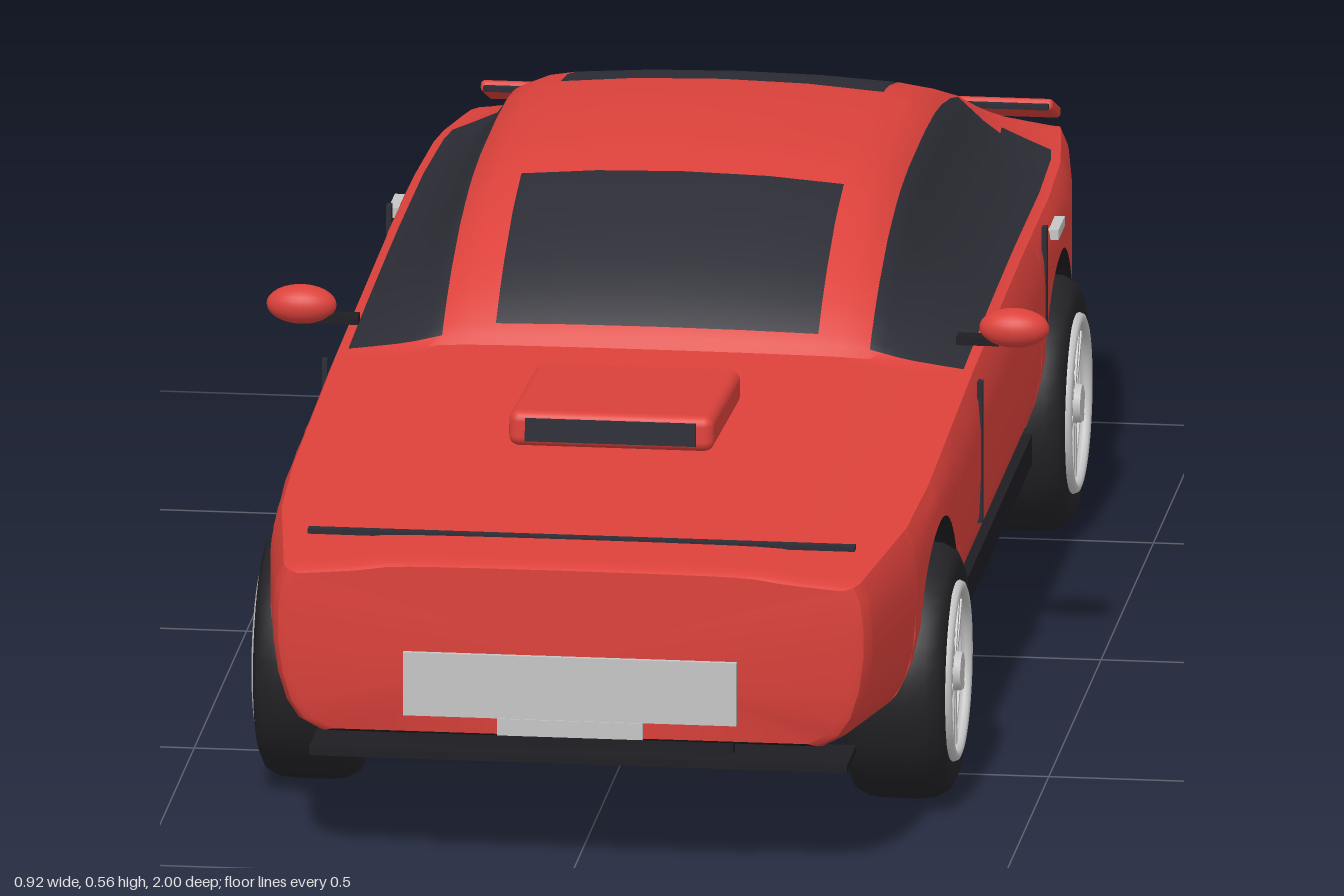
import * as THREE from 'three';
import { toCreasedNormals } from 'three/addons/utils/BufferGeometryUtils.js';
import { RoundedBoxGeometry } from 'three/addons/geometries/RoundedBoxGeometry.js';

const mat = (name, color, side = THREE.FrontSide) => {
  const m = new THREE.MeshStandardMaterial({ color, side });
  m.name = name;
  return m;
};
const red = mat('red paint', 0xdc413b);
const glass = mat('dark glass', 0x2c2c35);
const trim = mat('black trim', 0x1e1e23);
const rubber = mat('tyre rubber', 0x232327);
const silver = mat('silver metal', 0xc4c5c4, THREE.DoubleSide);
const caliperRed = mat('caliper red', 0xc8282a);

const WHEELS = [0.59, -0.555], ARCH = 0.18, AXLE_Y = 0.15;

// Piecewise linear lookup; keys run upwards
function lookup(keys, v) {
  if (v <= keys[0][0]) return keys[0][1];
  for (let i = 1; i < keys.length; i++) {
    const [a, p] = keys[i - 1], [b, q] = keys[i];
    if (v <= b) return p + (q - p) * (v - a) / (b - a);
  }
  return keys[keys.length - 1][1];
}
const WIDTH = [[-0.965, 0.345], [-0.85, 0.362], [-0.7, 0.38], [-0.55, 0.385], [0.6, 0.385], [0.76, 0.379], [0.99, 0.347]];
const BASE = [[-0.965, 0.17], [-0.73, 0.15], [-0.37, 0.14], [0.41, 0.14], [0.77, 0.145], [0.99, 0.165]];
const SHOULDER = [[-0.965, 0.365], [-0.9, 0.385], [-0.75, 0.398], [-0.3, 0.4], [0.18, 0.393], [0.6, 0.376], [0.99, 0.36]];
const TOP = [[-0.965, 0.382], [-0.93, 0.402], [-0.85, 0.437], [-0.745, 0.477], [-0.61, 0.522], [-0.52, 0.545], [-0.45, 0.556],
  [-0.35, 0.562], [-0.2, 0.562], [-0.13, 0.557], [-0.07, 0.546], [0, 0.525], [0.08, 0.487], [0.13, 0.455], [0.16, 0.43],
  [0.18, 0.408], [0.6, 0.388], [0.99, 0.374]];
const LOWER_EDGE = [[0, 0.84], [0.012, 0.91], [0.03, 0.95], [0.06, 0.98], [0.1, 1]];
const UPPER_EDGE = [[0, 0.965], [0.02, 0.99], [0.05, 1]];
// Cabin cross-section: fraction of half width, fraction of cabin height
const CABIN = [[0.935, 0.03], [0.86, 0.18], [0.78, 0.35], [0.73, 0.5], [0.69, 0.65], [0.65, 0.8], [0.57, 0.9], [0.49, 0.94], [0.26, 0.985], [0, 1]];
const SIDE_T = [0, 0.07, 0.18, 0.35, 0.55, 0.75, 0.9, 1];

// One closed body section at depth z, counter-clockwise from the front
function section(z) {
  const w = lookup(WIDTH, z), base = lookup(BASE, z), ys = lookup(SHOULDER, z), h = lookup(TOP, z) - ys;
  let yb = base;
  for (const c of WHEELS) {
    const d = Math.abs(z - c);
    if (d < ARCH) yb = AXLE_Y + Math.sqrt(ARCH * ARCH - d * d);
  }
  const half = [[0, yb]];
  for (const t of SIDE_T) {
    const y = yb + (ys - yb) * t;
    half.push([w * lookup(LOWER_EDGE, y - base) * lookup(UPPER_EDGE, ys - y), y]);
  }
  for (const [fx, fy] of CABIN) half.push([w * fx, ys + h * fy]);
  const mirrored = half.slice(1, -1).reverse().map(([x, y]) => [-x, y]);
  const s = lookup([[-0.965, 0.95], [-0.958, 0.985], [-0.945, 1], [0.972, 1], [0.985, 0.985], [0.99, 0.955]], z);
  return [...half, ...mirrored].map(([x, y]) => [x * s, 0.27 + (y - 0.27) * s, z]);
}

function bodyGeometry() {
  const zs = [-0.965, -0.958, -0.945, 0.972, 0.985, 0.99, 0.18, 0.17, 0.16, -0.085, -0.46, -0.755, -0.745, -0.7];
  for (let z = -0.92; z < 0.97; z += 0.04) zs.push(z);
  for (const c of WHEELS) {
    for (let k = 0; k <= 28; k++) zs.push(c + ARCH * Math.cos(Math.PI * k / 28));
    zs.push(c + ARCH + 0.0006, c - ARCH - 0.0006);
  }
  zs.sort((a, b) => b - a);
  const rings = zs.map(section), n = rings[0].length;
  const faces = [[], [], []];                       // paint, glass, underside
  const colourOf = (edge, z) => {
    const e = edge < n / 2 ? edge : n - 1 - edge;
    if (e === 0) return 2;
    if (e >= 9 && e <= 13 && z < 0.17 && z > (e <= 10 ? -0.745 : -0.7)) return 1;
    if (e >= 16 && ((z < 0.16 && z > -0.085) || (z < -0.46 && z > -0.755))) return 1;
    return 0;
  };
  for (let i = 0; i < zs.length - 1; i++) for (let j = 0; j < n; j++) {
    const a = i * n + j, b = a + n, c = i * n + (j + 1) % n, d = c + n;
    faces[colourOf(j, (zs[i] + zs[i + 1]) / 2)].push(a, b, c, b, d, c);
  }
  const points = rings.flat(), last = (zs.length - 1) * n, mid = points.length;
  points.push([0, 0.27, zs[0]], [0, 0.27, zs[zs.length - 1]]);
  for (let j = 0; j < n; j++) {
    const k = (j + 1) % n;
    faces[0].push(mid, j, k, mid + 1, last + k, last + j);
  }
  const g = new THREE.BufferGeometry();
  g.setAttribute('position', new THREE.Float32BufferAttribute(points.flat(), 3));
  g.setIndex(faces.flat());
  let start = 0;
  faces.forEach((f, m) => { g.addGroup(start, f.length, m); start += f.length; });
  return toCreasedNormals(g, 0.6);
}

function add(parent, name, geometry, material, x = 0, y = 0, z = 0) {
  const m = new THREE.Mesh(geometry, material);
  m.name = name;
  m.position.set(x, y, z);
  parent.add(m);
  return m;
}
const box = (w, h, d) => new THREE.BoxGeometry(w, h, d);
const lathe = pts => new THREE.LatheGeometry(pts.map(p => new THREE.Vector2(...p)), 40);

// Wheel whose outer side faces local +y before being turned to +x
function makeWheel() {
  const wheel = new THREE.Group(), w = new THREE.Group();
  add(w, 'tyre', lathe([[0.103, -0.052], [0.125, -0.06], [0.14, -0.053], [0.148, -0.038], [0.15, -0.02], [0.15, 0.02],
    [0.148, 0.038], [0.14, 0.053], [0.125, 0.06], [0.103, 0.056]]), rubber);
  add(w, 'rimBarrel', lathe([[0.104, -0.055], [0.098, -0.02], [0.098, 0.03], [0.104, 0.058]]), silver);
  add(w, 'rimLip', new THREE.TorusGeometry(0.099, 0.007, 8, 40).rotateX(Math.PI / 2), silver, 0, 0.058);
  add(w, 'wheelBack', new THREE.CylinderGeometry(0.097, 0.097, 0.01, 40), trim, 0, 0.005);
  add(w, 'brakeDisc', new THREE.CylinderGeometry(0.072, 0.072, 0.01, 32), silver, 0, 0.018);
  add(w, 'innerDisc', new THREE.CylinderGeometry(0.08, 0.08, 0.01, 32), silver, 0, -0.03);
  add(w, 'caliper', box(0.03, 0.02, 0.05), caliperRed, -0.055, 0.025, 0.035);
  add(w, 'hub', new THREE.CylinderGeometry(0.022, 0.027, 0.03, 20), silver, 0, 0.05);
  add(w, 'spokeRing', new THREE.TorusGeometry(0.05, 0.006, 6, 5).rotateX(Math.PI / 2), silver, 0, 0.05);
  for (let i = 0; i < 5; i++) {
    const arm = new THREE.Group();
    arm.name = 'spoke';
    for (const s of [-1, 1]) add(arm, 'spokeBar', box(0.085, 0.014, 0.009), silver, 0.06, 0.05, s * 0.01).rotation.y = s * -0.08;
    arm.rotation.y = i * Math.PI * 2 / 5;
    w.add(arm);
  }
  w.rotation.z = -Math.PI / 2;
  wheel.add(w);
  return wheel;
}

export function createModel() {
  const car = new THREE.Group();
  car.name = 'car';
  add(car, 'body', bodyGeometry(), [red, glass, trim]);

  // Bonnet scoop and panel gaps
  const scoop = new THREE.Group();
  scoop.name = 'bonnetScoop';
  add(scoop, 'scoopShell', new RoundedBoxGeometry(0.24, 0.042, 0.27, 3, 0.012), red);
  add(scoop, 'scoopOpening', box(0.2, 0.027, 0.008), glass, 0, 0, 0.134);
  scoop.position.set(0, 0.42, 0.47);
  scoop.rotation.x = -0.06;
  car.add(scoop);
  add(car, 'bonnetGap', box(0.64, 0.006, 0.012), glass, 0, 0.377, 0.88);
  add(car, 'spoiler', new RoundedBoxGeometry(0.67, 0.014, 0.085, 2, 0.005), red, 0, 0.399, -0.925).rotation.x = -0.38;

  // Front end
  add(car, 'frontPanel', box(0.39, 0.076, 0.008), silver, 0, 0.228, 0.992);
  add(car, 'frontPlate', box(0.17, 0.02, 0.008), silver, 0, 0.179, 0.99);
  add(car, 'frontIntake', box(0.38, 0.03, 0.02), trim, 0, 0.168, 0.976);
  add(car, 'splitter', box(0.63, 0.01, 0.085), trim, 0, 0.12, 0.873);

  // Rear end
  add(car, 'rearPlate', box(0.16, 0.042, 0.008), silver, 0, 0.24, -0.965);
  add(car, 'diffuser', box(0.55, 0.025, 0.125), trim, 0, 0.127, -0.878);
  for (let i = -2; i <= 2; i++) add(car, 'diffuserFin', box(0.006, 0.045, 0.125), trim, i * 0.085, 0.118, -0.88);

  for (const s of [-1, 1]) {
    add(car, 'sill', box(0.07, 0.036, 0.77), trim, s * 0.34, 0.148, 0.023);
    add(car, 'doorGapFront', box(0.006, 0.17, 0.012), glass, s * 0.3835, 0.305, 0.202);
    add(car, 'doorGapRear', box(0.006, 0.13, 0.012), glass, s * 0.3835, 0.338, -0.412);
    add(car, 'doorHandle', box(0.014, 0.012, 0.06), silver, s * 0.385, 0.375, -0.505);
    add(car, 'bootGap', box(0.175, 0.006, 0.008), glass, s * 0.243, 0.413, -0.88);

    // Door mirrors
    add(car, 'mirrorStalk', box(0.05, 0.01, 0.02), trim, s * 0.375, 0.425, 0.15);
    add(car, 'mirror', new THREE.SphereGeometry(1, 24, 16).scale(0.041, 0.023, 0.025), red, s * 0.417, 0.441, 0.152);
    add(car, 'mirrorGlass', new THREE.SphereGeometry(1, 20, 12).scale(0.033, 0.018, 0.008), silver, s * 0.417, 0.441, 0.132);

    // Tail lamps and exhausts
    add(car, 'tailLampFrame', box(0.1, 0.048, 0.01), glass, s * 0.178, 0.328, -0.966);
    add(car, 'tailLamp', box(0.075, 0.022, 0.008), caliperRed, s * 0.178, 0.322, -0.969);
    add(car, 'exhaust', new THREE.CylinderGeometry(0.019, 0.027, 0.1, 24, 1, true).rotateX(Math.PI / 2), silver, s * 0.195, 0.163, -0.95);
    add(car, 'exhaustRim', new THREE.TorusGeometry(0.025, 0.004, 8, 24), silver, s * 0.195, 0.163, -0.998);
    add(car, 'exhaustBore', new THREE.CylinderGeometry(0.021, 0.021, 0.01, 24).rotateX(Math.PI / 2), trim, s * 0.195, 0.163, -0.975);

    WHEELS.forEach((z, i) => {
      const wheel = makeWheel();
      wheel.name = i ? 'rearWheel' : 'frontWheel';
      wheel.position.set(s * 0.345, AXLE_Y, z);
      if (s < 0) wheel.rotation.y = Math.PI;
      car.add(wheel);
    });
  }
  return car;
}
